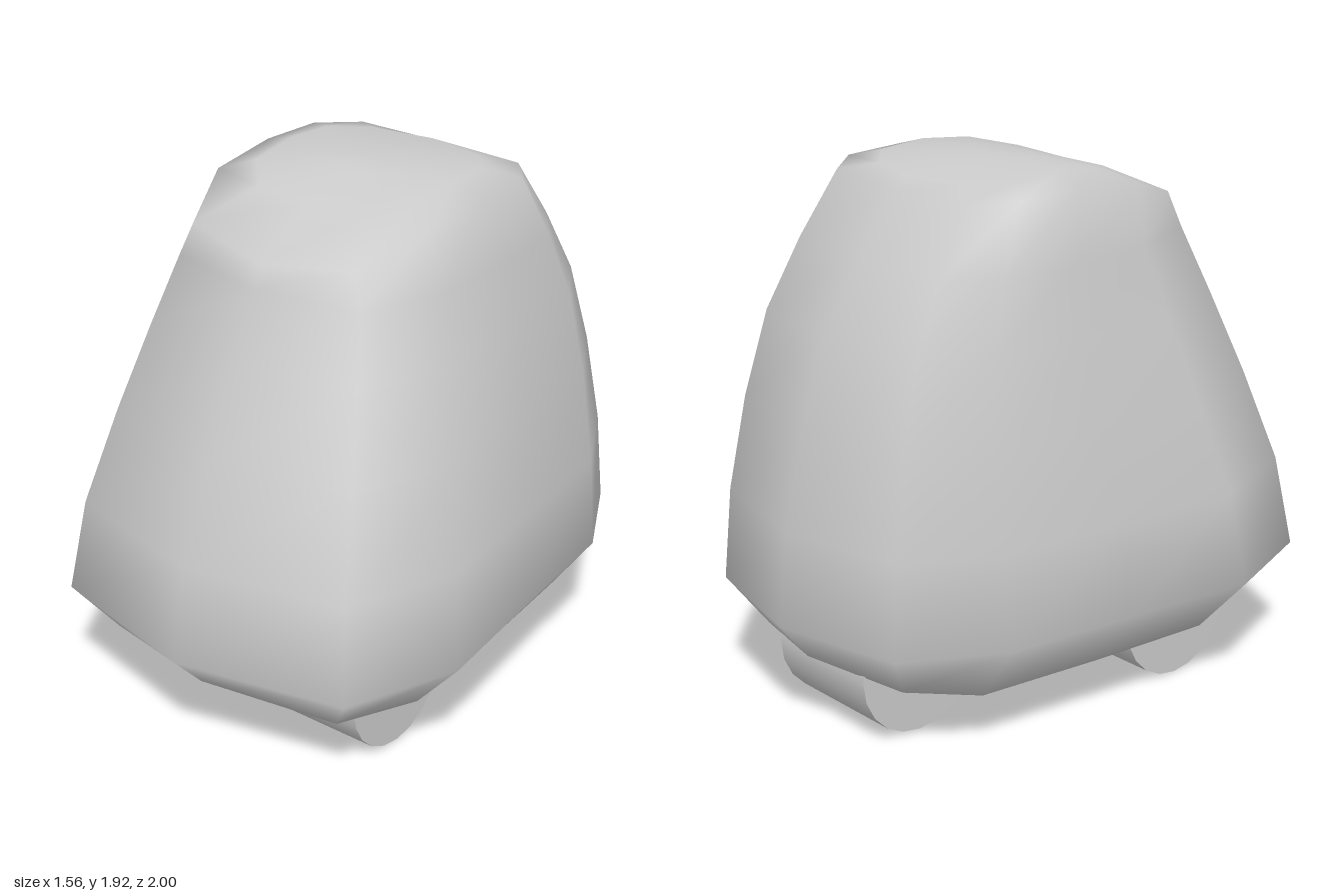
import * as THREE from 'three';

// Half cross-sections, seven points [x, y, z] from front centre round the +x side to back centre.
const belly = [[0, .21, .46], [.3, .21, .45], [.36, .21, .28], [.34, .21, -.05], [.32, .21, -.38], [.25, .21, -.55], [0, .21, -.56]];
const underside = [[0, .285, .87], [.5, .255, .75], [.59, .21, .42], [.56, .21, -.05], [.51, .21, -.54], [.38, .25, -.78], [0, .285, -.89]];
const waist = [[0, .425, 1], [.62, .425, .86], [.78, .425, .45], [.72, .425, -.05], [.665, .425, -.55], [.48, .425, -.89], [0, .425, -1]];
const rim = [[0, 1.715, .52], [.34, 1.76, .46], [.455, 1.85, .2], [.467, 1.875, -.08], [.455, 1.87, -.32], [.34, 1.86, -.46], [0, 1.85, -.49]];
const roof = [[0, 1.85, .28], [.22, 1.86, .26], [.34, 1.89, .13], [.35, 1.91, -.07], [.34, 1.9, -.26], [.22, 1.89, -.37], [0, 1.885, -.42]];
const crown = [[0, 1.92, .05], [.1, 1.918, .04], [.16, 1.917, 0], [.17, 1.917, -.07], [.16, 1.917, -.14], [.1, 1.918, -.19], [0, 1.92, -.2]];

// Wall levels: height, half width, front z, back z, share of rim shape
const levels = [
  [.76, .737, .935, -.965, .12],
  [1.1, .665, .8, -.885, .35],
  [1.4, .59, .668, -.785, .6],
  [1.64, .525, .555, -.64, .85],
];

function wallSection([y, width, front, back, t]) {
  const shape = (section, i) => {
    const [x, , z] = section[i];
    const half = Math.max(...section.map((p) => p[0]));
    const [zf, zb] = [section[0][2], section[6][2]];
    return [x / half, (z - zb) / (zf - zb)];
  };
  return waist.map((_, i) => {
    const a = shape(waist, i), b = shape(rim, i);
    const x = THREE.MathUtils.lerp(a[0], b[0], t), z = THREE.MathUtils.lerp(a[1], b[1], t);
    return [x * width, y, back + z * (front - back)];
  });
}

// Joins mirrored sections into one smooth closed skin
function loft(sections, bottom, top) {
  const n = 12, pos = [], idx = [];
  for (const s of sections) {
    const mirrored = s.slice(1, 6).reverse().map(([x, y, z]) => [-x, y, z]);
    for (const p of [...s, ...mirrored]) pos.push(...p);
  }
  const last = sections.length - 1, b = sections.length * n, t = b + 1;
  pos.push(...bottom, ...top);
  for (let j = 0; j < n; j++) {
    const k = (j + 1) % n;
    for (let i = 0; i < last; i++) {
      const lo = i * n, hi = lo + n;
      idx.push(lo + j, lo + k, hi + k, lo + j, hi + k, hi + j);
    }
    idx.push(b, k, j, last * n + j, last * n + k, t);
  }
  const g = new THREE.BufferGeometry();
  g.setAttribute('position', new THREE.Float32BufferAttribute(pos, 3));
  g.setIndex(idx);
  g.computeVertexNormals();
  return g;
}

export function createModel() {
  const group = new THREE.Group();
  const grey = new THREE.MeshStandardMaterial({ color: 0xcccccc });

  // Rounded, tapering body
  const body = new THREE.Mesh(
    loft([belly, underside, waist, ...levels.map(wallSection), rim, roof, crown], [0, .21, -.05], [0, 1.92, -.07]), grey);
  body.name = 'body';
  group.add(body);

  // Wide front roller and narrow back roller
  for (const [name, length, z] of [['frontRoller', .98, .4], ['backRoller', .47, -.59]]) {
    const roller = new THREE.Mesh(new THREE.CylinderGeometry(.244, .244, length, 20), grey);
    roller.name = name;
    roller.rotation.z = Math.PI / 2;
    roller.position.set(0, .244, z);
    group.add(roller);
  }
  return group;
}
